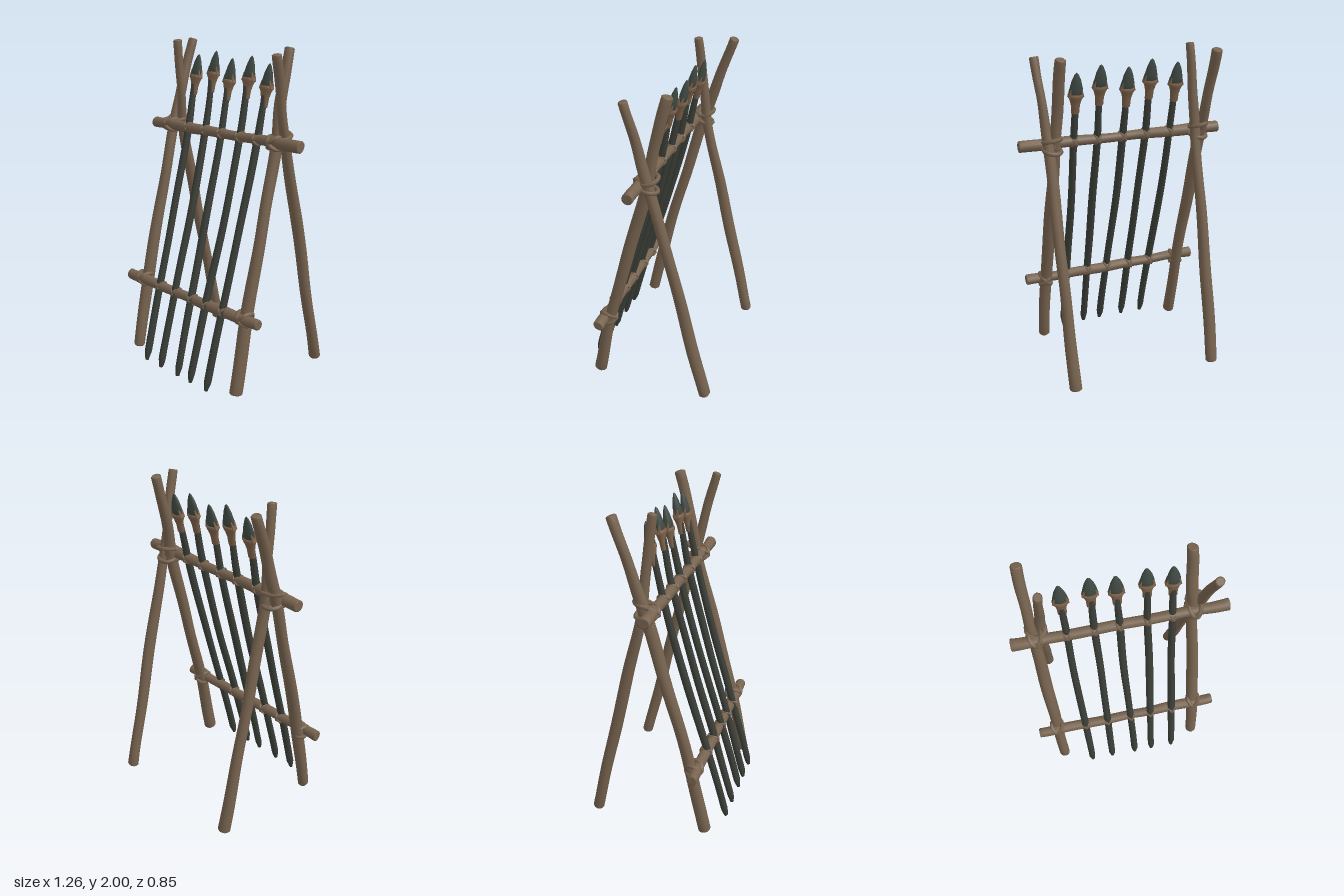
import * as THREE from 'three';

const wood = new THREE.MeshStandardMaterial({ color: 0x77634f });
wood.name = 'weathered wood';
const shaftMat = new THREE.MeshStandardMaterial({ color: 0x3b3e37 });
shaftMat.name = 'dark shaft';
const stone = new THREE.MeshStandardMaterial({ color: 0x3f4842 });
stone.name = 'spearhead stone';
const hide = new THREE.MeshStandardMaterial({ color: 0x7d624a });
hide.name = 'hide binding';

// Slightly knobbly pole through [x, y, z, radius] points, closed with chamfered ends
function pole(name, pts, mat, seed, wobble = 0.06, sides = 12) {
  const curve = new THREE.CatmullRomCurve3(pts.map(p => new THREE.Vector3(p[0], p[1], p[2])));
  const steps = 30, pos = [], idx = [];
  const dir = curve.getTangent(0.5);
  const ref = Math.abs(dir.x) > 0.7 ? new THREE.Vector3(0, 1, 0) : new THREE.Vector3(1, 0, 0);
  const ring = (t, scale) => {
    const f = t * (pts.length - 1), i = Math.min(Math.floor(f), pts.length - 2);
    const r = THREE.MathUtils.lerp(pts[i][3], pts[i + 1][3], f - i) * scale;
    const c = curve.getPoint(t), T = curve.getTangent(t);
    const U = new THREE.Vector3().crossVectors(ref, T).normalize();
    const V = new THREE.Vector3().crossVectors(T, U);
    for (let k = 0; k < sides; k++) {
      const a = k / sides * Math.PI * 2;
      const q = r * (1 + wobble * Math.sin(2 * a + t * 11 + seed) + wobble * Math.sin(t * 23 + seed * 2 + a));
      const p = c.clone().addScaledVector(U, q * Math.cos(a)).addScaledVector(V, q * Math.sin(a));
      pos.push(p.x, p.y, p.z);
    }
  };
  ring(0, 0.8);
  for (let s = 0; s <= steps; s++) ring(0.004 + 0.992 * s / steps, 1);
  ring(1, 0.8);
  const rows = steps + 3;
  for (let s = 0; s < rows - 1; s++) for (let k = 0; k < sides; k++) {
    const a = s * sides + k, b = s * sides + (k + 1) % sides;
    idx.push(a, b, a + sides, b, b + sides, a + sides);
  }
  // End caps with their own vertices so they stay crisp
  for (const [t, scale] of [[0, 0.8], [1, 0.8]]) {
    const base = pos.length / 3;
    ring(t, scale);
    curve.getPoint(t).toArray(pos, pos.length);
    for (let k = 0; k < sides; k++) {
      const a = base + k, b = base + (k + 1) % sides;
      if (t) idx.push(a, b, base + sides); else idx.push(b, a, base + sides);
    }
  }
  const g = new THREE.BufferGeometry();
  g.setAttribute('position', new THREE.Float32BufferAttribute(pos, 3));
  g.setIndex(idx);
  g.computeVertexNormals();
  const m = new THREE.Mesh(g, mat);
  m.name = name;
  return m;
}

// Loop of cord whose axis points along the given normal
function cord(name, p, normal, radius, tube) {
  const m = new THREE.Mesh(new THREE.TorusGeometry(radius, tube, 6, 16), wood);
  m.name = name;
  m.position.set(...p);
  m.quaternion.setFromUnitVectors(new THREE.Vector3(0, 0, 1), new THREE.Vector3(...normal).normalize());
  return m;
}

function lathe(name, profile, mat, depth, sides) {
  const g = new THREE.LatheGeometry(profile.map(p => new THREE.Vector2(...p)), sides);
  g.scale(1, 1, depth);
  const m = new THREE.Mesh(g, mat);
  m.name = name;
  return m;
}

function spear(bottomX, topX, tipY, i) {
  const g = new THREE.Group();
  g.name = 'spear' + (i + 1);
  const bend = i % 2 ? 0.004 : -0.004;
  const mix = t => THREE.MathUtils.lerp(bottomX, topX, t);
  g.add(pole('spearShaft', [
    [bottomX, 0.005, 0.41, 0.011], [mix(0.05), 0.06, 0.397, 0.022], [mix(0.3), 0.47, 0.285, 0.023],
    [mix(0.65) + bend, 0.95, 0.145, 0.023], [mix(0.9), 1.46, 0.012, 0.022], [topX, tipY - 0.17, -0.045, 0.018],
  ], shaftMat, i * 1.7, 0.04, 10));
  // Leaf-shaped head and the binding that holds it
  const top = new THREE.Group();
  top.name = 'spearTop';
  top.add(lathe('spearhead', [[0, -0.18], [0.03, -0.17], [0.042, -0.125], [0.04, -0.1], [0.028, -0.05],
    [0.012, -0.012], [0, 0]], stone, 0.6, 8));
  top.add(lathe('headBinding', [[0.019, -0.255], [0.025, -0.25], [0.027, -0.2], [0.036, -0.165],
    [0.044, -0.15], [0.044, -0.135], [0.036, -0.13], [0, -0.145]], hide, 0.72, 12));
  for (const s of [-1, 1]) {
    const strap = new THREE.Mesh(new THREE.BoxGeometry(0.012, 0.05, 0.03), hide);
    strap.name = 'headStrap';
    strap.position.set(s * 0.034, -0.125, 0);
    strap.rotation.z = s * 0.25;
    top.add(strap);
  }
  top.position.set(topX, tipY, -0.085);
  top.rotation.x = -0.2;
  g.add(top);
  return g;
}

export function createModel() {
  const rack = new THREE.Group();
  rack.name = 'spearRack';

  // Two crossed pairs of legs
  rack.add(pole('rightFrontLeg', [[-0.47, 0.015, 0.325, 0.036], [-0.478, 0.5, 0.225, 0.037], [-0.488, 1, 0.095, 0.036],
    [-0.498, 1.45, -0.025, 0.034], [-0.503, 1.72, -0.11, 0.031], [-0.503, 1.99, -0.2, 0.03]], wood, 0.5));
  rack.add(pole('leftFrontLeg', [[0.452, 0.015, 0.325, 0.039], [0.445, 0.5, 0.225, 0.037], [0.432, 1, 0.095, 0.036],
    [0.42, 1.45, -0.02, 0.034], [0.41, 1.72, -0.065, 0.033], [0.405, 1.985, -0.135, 0.031]], wood, 2.1));
  rack.add(pole('rightBackLeg', [[-0.47, 0.02, -0.385, 0.037], [-0.467, 0.5, -0.275, 0.035], [-0.46, 1, -0.16, 0.034],
    [-0.448, 1.45, -0.06, 0.031], [-0.435, 1.72, -0.035, 0.027], [-0.422, 1.995, 0, 0.026]], wood, 3.7));
  rack.add(pole('leftBackLeg', [[0.442, 0.02, -0.39, 0.037], [0.45, 0.5, -0.275, 0.035], [0.458, 1, -0.16, 0.034],
    [0.465, 1.45, -0.045, 0.031], [0.482, 1.72, 0.015, 0.027], [0.502, 1.965, 0.075, 0.027]], wood, 5.2));

  // Crossbars
  rack.add(pole('upperBar', [[-0.63, 1.46, 0.015, 0.036], [-0.4, 1.46, 0.015, 0.034], [0, 1.462, 0.012, 0.029],
    [0.4, 1.467, 0.01, 0.032], [0.63, 1.465, 0.01, 0.035]], wood, 1.3));
  rack.add(pole('lowerBar', [[-0.6, 0.475, 0.28, 0.033], [-0.35, 0.473, 0.275, 0.031], [0, 0.468, 0.27, 0.031],
    [0.3, 0.468, 0.265, 0.032], [0.57, 0.47, 0.262, 0.033]], wood, 4.4));

  // Diagonal lashings where legs, bars and each other meet
  for (const [x, y, z] of [[-0.485, 1.46, 0], [0.43, 1.463, 0], [-0.478, 0.473, 0.255], [0.445, 0.47, 0.245]])
    for (const s of [-1, 1])
      rack.add(cord('legLashing', [x, y, z], [1, s, 0.15], 0.05, 0.013));
  for (const [x, y] of [[-0.475, 1.5], [0.442, 1.5]]) {
    rack.add(cord('crossLashing', [x, y, -0.04], [0.15, 1, 0.25], 0.053, 0.013));
    rack.add(cord('crossLashing', [x, y - 0.06, -0.035], [-0.15, 1, -0.2], 0.053, 0.013));
  }

  // Spears tied to both bars
  [[-0.28, -0.312, 1.91], [-0.137, -0.152, 1.94], [0.025, -0.01, 1.905], [0.143, 0.155, 1.93], [0.288, 0.3, 1.895]]
    .forEach(([b, t, tip], i) => {
      rack.add(spear(b, t, tip, i));
      for (const s of [-1, 1]) {
        rack.add(cord('upperTie', [THREE.MathUtils.lerp(b, t, 0.9), 1.463, 0.012], [1, s * 0.6, 0], 0.032, 0.008));
        rack.add(cord('lowerTie', [THREE.MathUtils.lerp(b, t, 0.3), 0.47, 0.272], [1, s * 0.6, 0], 0.034, 0.008));
      }
    });
  return rack;
}
